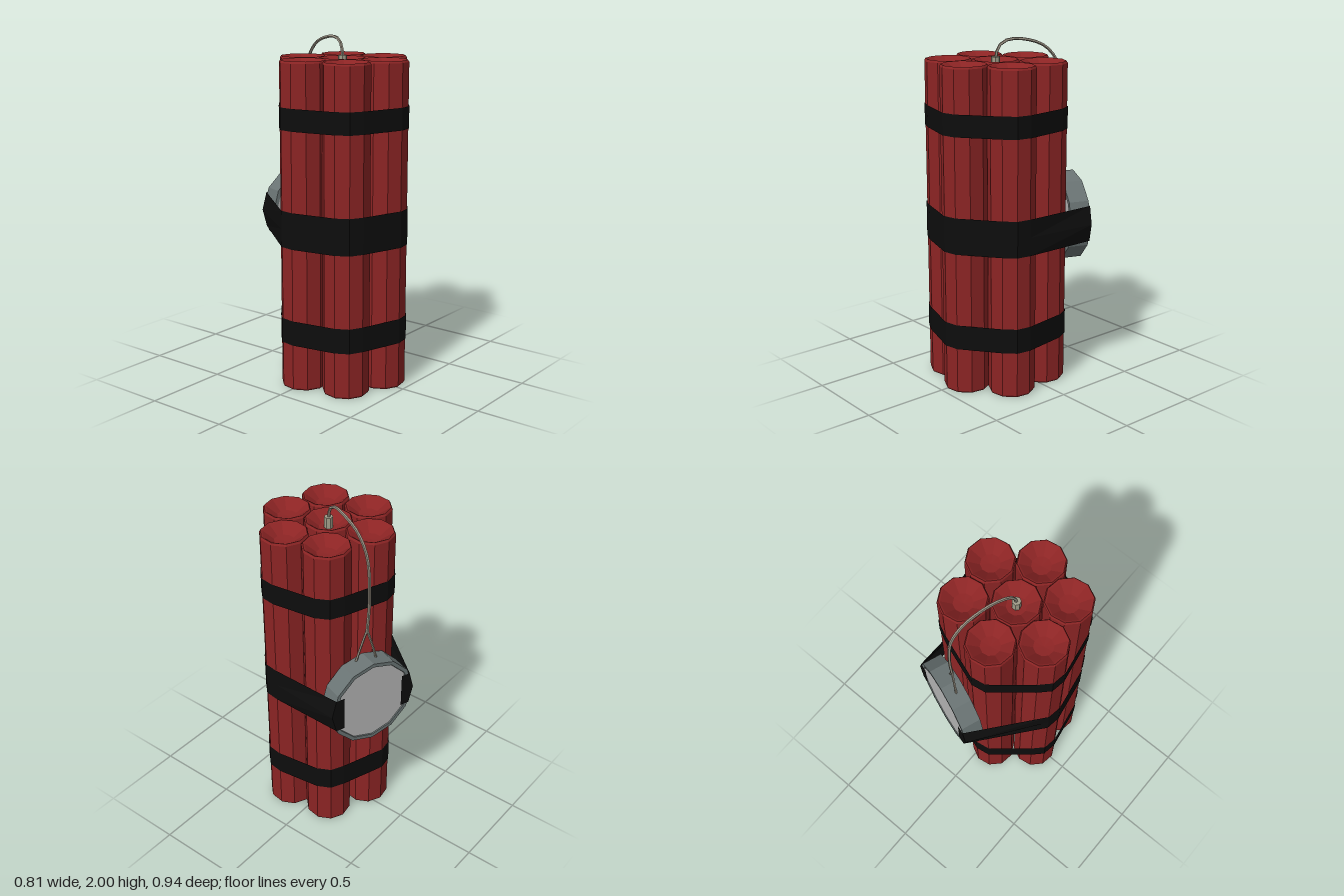
import * as THREE from 'three';

const mat = (name, color, side = THREE.FrontSide) =>
  Object.assign(new THREE.MeshStandardMaterial({ color, side }), { name });

// Faceted normals for the low-poly look
function flat(geo) {
  const g = geo.index ? geo.toNonIndexed() : geo;
  g.computeVertexNormals();
  return g;
}

function mesh(name, geo, material, parent) {
  const m = new THREE.Mesh(flat(geo), material);
  m.name = name;
  parent.add(m);
  return m;
}

const v2 = (pts) => pts.map(([x, y]) => new THREE.Vector2(x, y));

// Convex outline of [x, z] points (monotone chain)
function hull(points) {
  const pts = [...points].sort((a, b) => a[0] - b[0] || a[1] - b[1]);
  const half = (list) => {
    const out = [];
    for (const p of list) {
      while (out.length > 1) {
        const a = out[out.length - 2], b = out[out.length - 1];
        if ((b[0] - a[0]) * (p[1] - a[1]) - (b[1] - a[1]) * (p[0] - a[0]) > 1e-7) break;
        out.pop();
      }
      out.push(p);
    }
    out.pop();
    return out;
  };
  return [...half(pts), ...half([...pts].reverse())];
}

// Sheet stitched from columns of points
function sheet(columns) {
  const rows = columns[0].length, pos = [], idx = [];
  columns.forEach((col) => col.forEach((p) => pos.push(...p)));
  for (let i = 0; i < columns.length - 1; i++) {
    for (let j = 0; j < rows - 1; j++) {
      const a = i * rows + j, b = a + rows;
      idx.push(a, a + 1, b, b, a + 1, b + 1);
    }
  }
  const g = new THREE.BufferGeometry();
  g.setAttribute('position', new THREE.Float32BufferAttribute(pos, 3));
  g.setIndex(idx);
  return g;
}

export function createModel() {
  const model = new THREE.Group();
  const red = mat('red casing', 0x8c2424);
  const black = mat('black tape', 0x0d0d0d, THREE.DoubleSide);
  const steel = mat('grey metal', 0x6a7474);
  const dial = mat('light grey plate', 0xb5b5b5);
  const cord = mat('cord', 0x968e80);
  const ferruleMat = mat('ferrule', 0xa09c88);

  // Seven ten-sided sticks with dished ends
  const R = 0.135, SIDES = 10, PHI = THREE.MathUtils.degToRad(27.6);
  const centers = [[-0.02, 0.072], [-0.06, -0.182], [0.2, -0.09], [0.237, 0.17],
    [0.025, 0.33], [-0.22, 0.253], [-0.268, -0.01]];
  const profile = v2([[0, 0.055], [0.055, 0.05], [0.118, 0.006], [0.128, 0.003], [R, 0.014],
    [R, 1.872], [0.128, 1.884], [0.118, 1.88], [0.055, 1.835], [0, 1.83]]);
  const sticks = new THREE.Group();
  sticks.name = 'sticks';
  model.add(sticks);
  const rim = [];
  for (const [x, z] of centers) {
    mesh('stick', new THREE.LatheGeometry(profile, SIDES, PHI), red, sticks).position.set(x, 0, z);
    for (let i = 0; i < SIDES; i++) {
      const a = PHI + (i * Math.PI * 2) / SIDES;
      rim.push([x + (R + 0.004) * Math.sin(a), z + (R + 0.004) * Math.cos(a)]);
    }
  }

  // Closed tape bands, top and bottom
  const outline = hull(rim);
  for (const [name, y0, y1] of [['lowerBand', 0.275, 0.42], ['upperBand', 1.505, 1.63]]) {
    mesh(name, sheet([...outline, outline[0]].map(([x, z]) => [[x, y0, z], [x, y1, z]])), black, model);
  }

  // Round timer case, turned toward the back
  const CX = 0.13, CY = 0.945, CZ = -0.32, CR = 0.265, HALF = 0.06, ANGLE = 0.347;
  const timer = new THREE.Group();
  timer.name = 'timer';
  timer.position.set(CX, CY, CZ);
  timer.rotation.y = Math.PI - ANGLE;
  model.add(timer);
  const caseProfile = v2([[0.238, -HALF + 0.008], [0.242, -HALF], [CR, -HALF],
    [CR, HALF], [0.242, HALF], [0.238, HALF - 0.008]]);
  mesh('timerCase', new THREE.LatheGeometry(caseProfile, 12).rotateX(Math.PI / 2), steel, timer);
  for (const s of [1, -1]) {
    const plate = mesh('timerPlate', new THREE.CircleGeometry(0.24, 12), dial, timer);
    plate.position.z = s * (HALF - 0.006);
    if (s < 0) plate.rotation.y = Math.PI;
  }

  // Middle band: runs round the front, then out to the case and over its back edge
  const clockPoint = (u, n, y) => [
    CX + u * Math.cos(ANGLE) + n * Math.sin(ANGLE), y,
    CZ + u * Math.sin(ANGLE) - n * Math.cos(ANGLE)];
  const ys = [0.84, CY, 1.05], back = HALF + 0.004;
  const edgeColumn = (s) => ys.map((y) => clockPoint(s * (y === CY ? CR + 0.006 : CR - 0.022), back, y));
  const tabColumn = (s) => ys.map((y) => clockPoint(s * 0.19, back, y));
  const corners = [1, -1].map((s) => {
    const p = clockPoint(s * (CR + 0.006), back, CY);
    return [p[0], p[2]];
  });
  let loop = hull([...rim, ...corners]);
  // Start the loop at a case corner so the case's back stays open
  const [ia, ib] = corners.map((c) => loop.indexOf(c));
  const start = (ib + 1) % loop.length === ia ? ia : ib;
  const first = start === ia ? 1 : -1;
  loop = [...loop.slice(start), ...loop.slice(0, start)].slice(1, -1);
  mesh('middleBand', sheet([
    tabColumn(first), edgeColumn(first),
    ...loop.map(([x, z]) => ys.map((y) => [x, y, z])),
    edgeColumn(-first), tabColumn(-first),
  ]), black, model);

  // Cord from the middle stick, splitting into two leads on the case
  mesh('ferrule', new THREE.CylinderGeometry(0.025, 0.025, 0.07, 7), ferruleMat, model)
    .position.set(-0.02, 1.862, 0.072);
  const wire = (name, pts, r, n) => mesh(name, new THREE.TubeGeometry(
    new THREE.CatmullRomCurve3(pts.map((p) => new THREE.Vector3(...p))), n, r, 5), cord, model);
  wire('cord', [[-0.02, 1.88, 0.072], [-0.012, 1.95, 0.058], [0.008, 1.988, 0.01], [0.045, 1.99, -0.08],
    [0.085, 1.945, -0.205], [0.108, 1.84, -0.285], [0.116, 1.6, -0.312], [0.12, 1.37, -0.303]], 0.009, 22);
  for (const [x, z] of [[0.07, -0.335], [0.175, -0.268]]) {
    wire('lead', [[0.12, 1.39, -0.303], [(0.12 + x) / 2, 1.29, (z - 0.303) / 2], [x, 1.18, z]], 0.007, 6);
  }
  return model;
}
